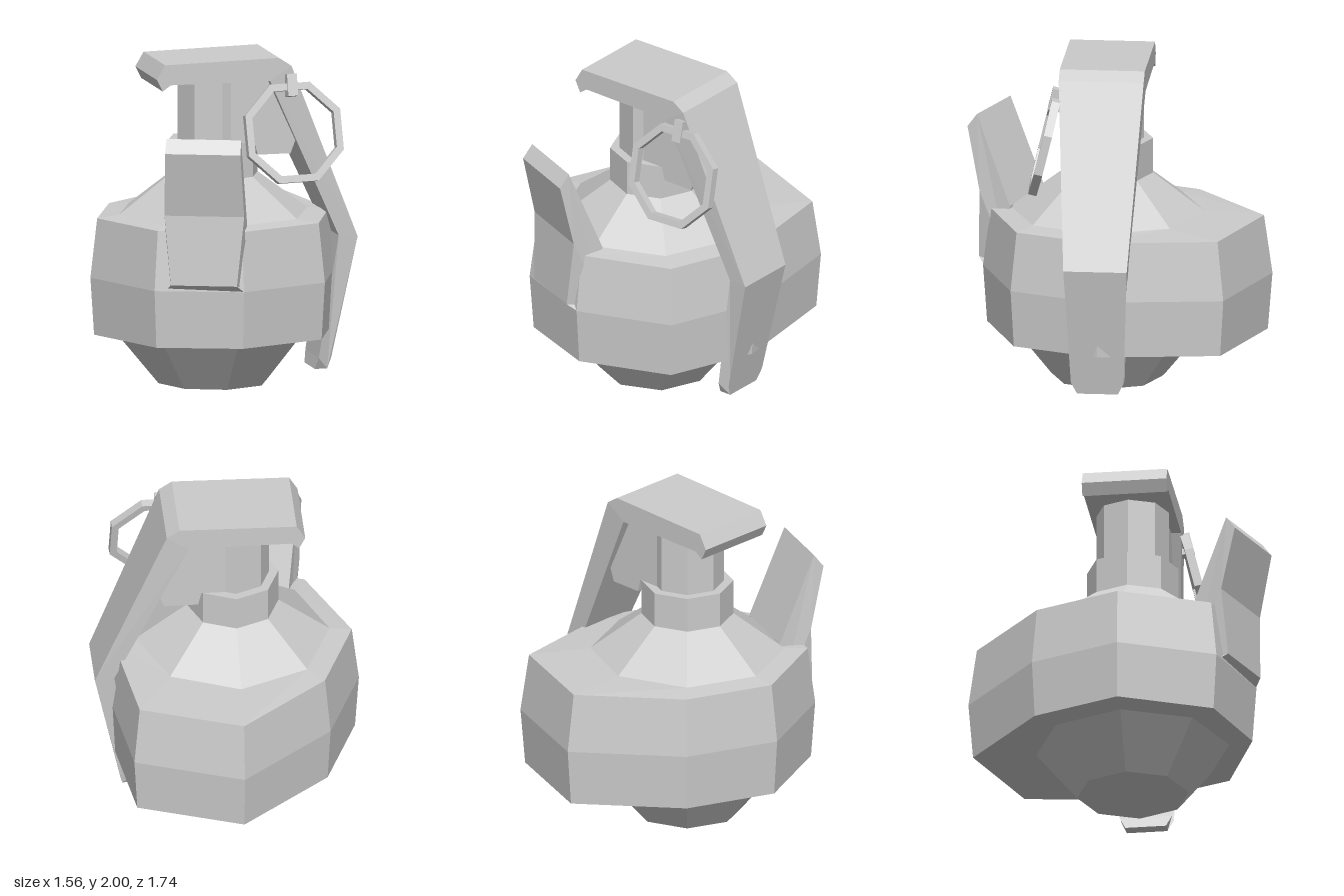
import * as THREE from 'three';

const CX = -0.07, CZ = 0.07;      // vertical axis of the body
const LEVER_TURN = 0.297;         // heading of the lever around that axis

const material = () => new THREE.MeshStandardMaterial({ color: 0xcccccc, flatShading: true, side: THREE.DoubleSide });

function addMesh(parent, name, geometry) {
  const mesh = new THREE.Mesh(geometry, material());
  mesh.name = name;
  parent.add(mesh);
  return mesh;
}

// Regular eight-sided ring at height y
function octagon(r, y) {
  return Array.from({ length: 8 }, (_, i) => {
    const a = THREE.MathUtils.degToRad(-152 + 45 * i);
    return [CX + r * Math.cos(a), y, CZ + r * Math.sin(a)];
  });
}

// Skin over rings listed from bottom to top
function loft(rings) {
  const n = rings[0].length, index = [];
  for (let j = 0; j < rings.length - 1; j++) {
    for (let i = 0; i < n; i++) {
      const a = j * n + i, b = j * n + (i + 1) % n;
      index.push(a, a + n, b, b, a + n, b + n);
    }
  }
  const geometry = new THREE.BufferGeometry();
  geometry.setAttribute('position', new THREE.Float32BufferAttribute(rings.flat(2), 3));
  geometry.setIndex(index);
  const flat = geometry.toNonIndexed();
  flat.computeVertexNormals();
  return flat;
}

// Plate from a side profile; halfWidth(y) sets its taper
function plate(points, halfWidth) {
  const shape = new THREE.Shape(points.map(([x, y]) => new THREE.Vector2(x, y)));
  const geometry = new THREE.ExtrudeGeometry(shape, { depth: 1, bevelEnabled: false });
  const p = geometry.attributes.position;
  for (let i = 0; i < p.count; i++) p.setZ(i, (p.getZ(i) * 2 - 1) * halfWidth(p.getY(i)));
  geometry.computeVertexNormals();
  return geometry;
}

// Piecewise linear lookup through [y, value] stops
function stops(list) {
  return (y) => {
    for (let i = 1; i < list.length; i++) {
      const [y0, v0] = list[i - 1], [y1, v1] = list[i];
      if (y <= y1) return THREE.MathUtils.mapLinear(Math.max(y, y0), y0, y1, v0, v1);
    }
    return list[list.length - 1][1];
  };
}

export function createModel() {
  const model = new THREE.Group();
  model.name = 'grenade';

  // Uneven eight-sided body with a bulging waist band
  const outline = [[-0.73, -0.28], [-0.34, -0.865], [0.33, -0.825], [0.64, -0.15],
    [0.6, 0.41], [0.14, 0.77], [-0.385, 0.75], [-0.78, 0.29]];
  const band = (s, y) => outline.map(([x, z]) => [CX + (x - CX) * s, y, z * s]);
  addMesh(model, 'body', loft([
    octagon(0, 0.005), octagon(0.33, 0.055), octagon(0.57, 0.345),
    band(0.97, 0.36), band(1, 0.7), band(0.945, 1.05),
    octagon(0.57, 1.065), octagon(0.27, 1.29),
  ]));

  // Collar and fuse post
  addMesh(model, 'collar', loft([octagon(0.27, 1.28), octagon(0.27, 1.5), octagon(0.2, 1.5)]));
  addMesh(model, 'fusePost', loft([octagon(0.215, 1.48), octagon(0.215, 1.88), octagon(0, 1.88)]));

  // Safety lever and the bracket that carries it
  const leverGroup = new THREE.Group();
  leverGroup.name = 'leverAssembly';
  leverGroup.position.set(CX, 0, CZ);
  leverGroup.rotation.y = LEVER_TURN;
  model.add(leverGroup);
  addMesh(leverGroup, 'lever', plate([
    [-0.355, 1.985], [-0.405, 1.9], [-0.37, 1.83], [-0.32, 1.865], [0.28, 1.865],
    [0.712, 0.92], [0.6, 0.19], [0.585, 0.12], [0.66, 0.12], [0.675, 0.19],
    [0.827, 0.91], [0.41, 1.95], [0.335, 2],
  ], stops([[0.12, 0.12], [0.19, 0.155], [0.92, 0.187], [1.83, 0.25], [2, 0.25]])));
  addMesh(leverGroup, 'leverBracket', plate([
    [0, 1.87], [0, 1.5], [0.2, 1.5], [0.22, 1.42], [0.42, 1.42], [0.45, 1.5], [0.285, 1.87],
  ], () => 0.19));

  // Raised flap on the front
  const flapGeometry = plate([
    [0.8, 0.74], [0.775, 1.15], [0.86, 1.53], [0.8, 1.61], [0.58, 1.08], [0.58, 0.7], [0.75, 0.7],
  ], stops([[0.7, 0.23], [0.74, 0.195], [1.15, 0.235], [1.61, 0.22]]));
  flapGeometry.rotateY(-Math.PI / 2);
  const flap = addMesh(model, 'frontFlap', flapGeometry);
  flap.rotation.y = -0.08;
  flap.position.x = -0.03;

  // Pull ring hanging from a small clasp
  const ringPath = (r, Type) => new Type(Array.from({ length: 8 }, (_, i) => {
    const a = (i + 0.53) * Math.PI / 4;
    return new THREE.Vector2(r * Math.cos(a), r * Math.sin(a));
  }));
  const ringShape = ringPath(0.315, THREE.Shape);
  ringShape.holes.push(ringPath(0.27, THREE.Path));
  const ringGeometry = new THREE.ExtrudeGeometry(ringShape, { depth: 0.05, bevelEnabled: false });
  ringGeometry.translate(0, 0, -0.025);
  const ringGroup = new THREE.Group();
  ringGroup.name = 'pullRingAssembly';
  ringGroup.position.set(0.41, 1.565, 0.27);
  ringGroup.rotation.set(-0.24, 0.34, 0, 'YXZ');
  model.add(ringGroup);
  addMesh(ringGroup, 'pullRing', ringGeometry);
  const clasp = addMesh(ringGroup, 'ringClasp', new THREE.BoxGeometry(0.06, 0.13, 0.09));
  clasp.position.set(0.005, 0.28, -0.01);

  return model;
}
